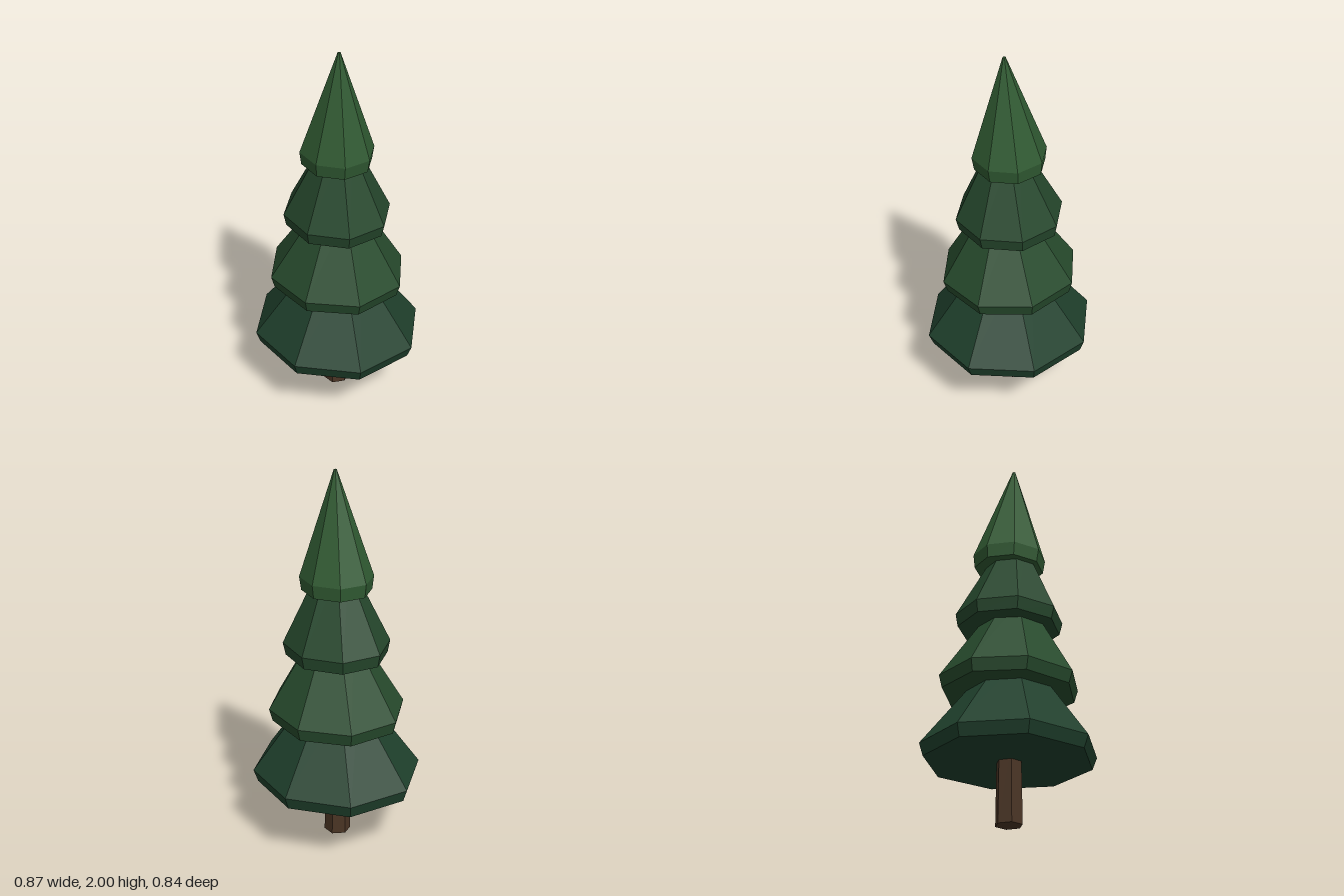
import * as THREE from 'three';

// Capped, faceted solid through horizontal elliptical rings, listed bottom to top.
// Each ring: { x, z: centre, y: height, rx, rz: radii }
function loft(rings, sides, phaseDeg) {
  const pos = [];
  const tri = (...pts) => pts.forEach((p) => pos.push(...p));
  const point = (r, i) => {
    const a = THREE.MathUtils.degToRad(phaseDeg) + ((i % sides) / sides) * Math.PI * 2;
    return [r.x + r.rx * Math.cos(a), r.y, r.z + r.rz * Math.sin(a)];
  };
  const bottom = rings[0];
  const top = rings[rings.length - 1];
  for (let i = 0; i < sides; i++) {
    for (let k = 0; k < rings.length - 1; k++) {
      const a = point(rings[k], i), b = point(rings[k], i + 1);
      const c = point(rings[k + 1], i), d = point(rings[k + 1], i + 1);
      tri(a, c, b);
      tri(b, c, d);
    }
    tri([bottom.x, bottom.y, bottom.z], point(bottom, i), point(bottom, i + 1));
    tri([top.x, top.y, top.z], point(top, i + 1), point(top, i));
  }
  const geometry = new THREE.BufferGeometry();
  geometry.setAttribute('position', new THREE.Float32BufferAttribute(pos, 3));
  geometry.computeVertexNormals();
  return geometry;
}

function part(name, geometry, color) {
  const mesh = new THREE.Mesh(geometry, new THREE.MeshStandardMaterial({ color, flatShading: true }));
  mesh.name = name;
  return mesh;
}

// Foliage tiers: skirt bottom, widest level, top, radii, top scale, lean and rotation
const TIERS = [
  { name: 'bottomTier', y: [0.32, 0.385, 0.8], rx: 0.457, rz: 0.44, top: 0.32, lean: [0.014, 0.004], phase: -17, color: 0x1f402c },
  { name: 'lowerMiddleTier', y: [0.68, 0.745, 1.15], rx: 0.37, rz: 0.352, top: 0.31, lean: [0.022, 0.006], phase: -19.5, color: 0x274b2d },
  { name: 'upperMiddleTier', y: [1.04, 1.105, 1.5], rx: 0.285, rz: 0.272, top: 0.3, lean: [0.018, 0.006], phase: -14, color: 0x25472c },
  { name: 'topTier', y: [1.39, 1.46, 2], rx: 0.195, rz: 0.185, top: 0.04, lean: [0.025, 0.008], phase: -13, color: 0x305a32 },
];

export function createModel() {
  const tree = new THREE.Group();
  tree.name = 'pineTree';

  // Tapered hexagonal trunk
  tree.add(part('trunk', loft([
    { x: -0.005, z: 0, y: 0, rx: 0.07, rz: 0.07 },
    { x: -0.005, z: 0, y: 0.4, rx: 0.064, rz: 0.064 },
  ], 6, 0), 0x4a3424));

  // Eight-sided tiers with a short undercut skirt and a slightly leaning top
  for (const t of TIERS) {
    const ring = (y, s, x, z) => ({ x, y, z, rx: t.rx * s, rz: t.rz * s });
    tree.add(part(t.name, loft([
      ring(t.y[0], 0.95, -0.003, -0.003),
      ring(t.y[1], 1, 0, -0.002),
      ring(t.y[2], t.top, ...t.lean),
    ], 8, t.phase), t.color));
  }
  return tree;
}
